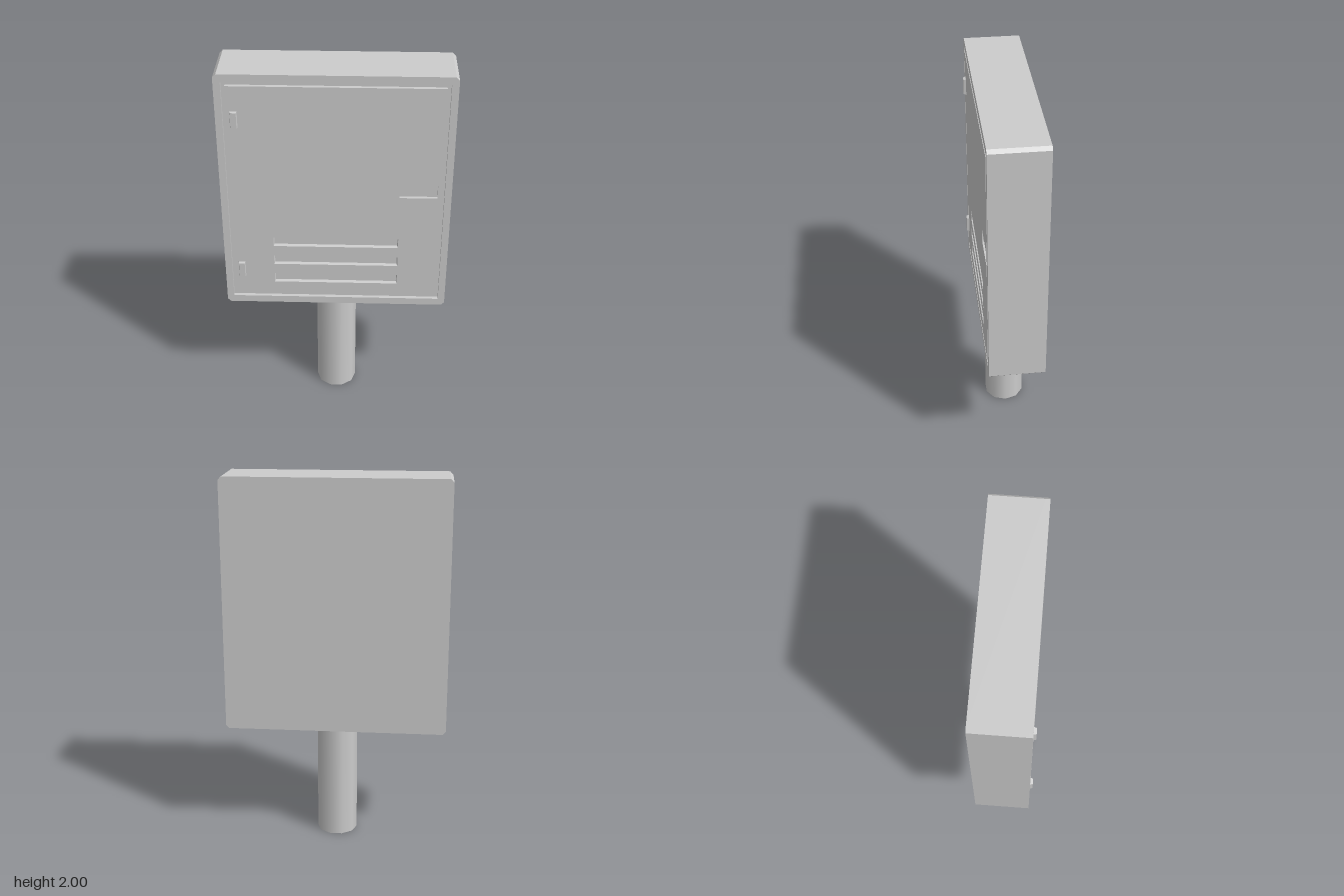
import * as THREE from 'three';

const FRONT = 0.141, BACK = -0.155, GROOVE = 0.02;

function rectPath(target, x0, y0, x1, y1, c = 0) {
  const pts = c
    ? [[x0 + c, y0], [x1 - c, y0], [x1, y0 + c], [x1, y1 - c], [x1 - c, y1], [x0 + c, y1], [x0, y1 - c], [x0, y0 + c]]
    : [[x0, y0], [x1, y0], [x1, y1], [x0, y1]];
  return target.setFromPoints(pts.map(([x, y]) => new THREE.Vector2(x, y)));
}

// Box from corner rectangle, with the front or back end narrowed by a taper
function taperedBox(x0, y0, x1, y1, z0, z1, taper, frontEnd) {
  const w = x1 - x0, h = y1 - y0;
  const g = new THREE.BoxGeometry(w, h, z1 - z0);
  const p = g.attributes.position;
  for (let i = 0; i < p.count; i++) {
    if ((p.getZ(i) > 0) === frontEnd) {
      p.setX(i, p.getX(i) * (1 - 2 * taper / w));
      p.setY(i, p.getY(i) * (1 - 2 * taper / h));
    }
  }
  g.translate((x0 + x1) / 2, (y0 + y1) / 2, (z0 + z1) / 2);
  return g;
}

// Recess seen from inside: a tapered box without its front, turned inside out
function pocket(x0, y0, x1, y1, depth, taper) {
  const g = taperedBox(x0, y0, x1, y1, FRONT - depth, FRONT, taper, false);
  const idx = Array.from(g.index.array);
  idx.splice(24, 6);
  g.setIndex(idx.reverse());
  g.clearGroups();
  g.computeVertexNormals();
  return g;
}

export function createModel() {
  const model = new THREE.Group();
  const mat = new THREE.MeshStandardMaterial({ color: 0xcccccc, flatShading: true });
  const add = (name, geometry, material = mat) => {
    const mesh = new THREE.Mesh(geometry, material);
    mesh.name = name;
    model.add(mesh);
    return mesh;
  };
  const extrude = (shape, z0, z1) =>
    new THREE.ExtrudeGeometry(shape, { depth: z1 - z0, bevelEnabled: false }).translate(0, 0, z0);

  // Cabinet shell with clipped corners
  const outline = () => rectPath(new THREE.Shape(), -0.596, 0.636, 0.596, 2, 0.017);
  add('cabinetBody', extrude(outline(), BACK, FRONT - GROOVE));

  // Raised rim around the door, leaving a narrow groove
  const rim = outline();
  rim.holes.push(rectPath(new THREE.Path(), -0.56, 0.676, 0.56, 1.957));
  add('frontRim', extrude(rim, FRONT - GROOVE, FRONT));

  // Door with openings for the vents and handle
  const vents = [0.775, 0.892, 1.008].map(y => [-0.331, y, 0.331, y + 0.056]);
  const handle = [0.328, 1.32, 0.524, 1.393];
  const door = rectPath(new THREE.Shape(), -0.54, 0.697, 0.54, 1.938);
  for (const r of [...vents, handle]) door.holes.push(rectPath(new THREE.Path(), ...r));
  add('door', extrude(door, FRONT - GROOVE, FRONT));

  // Recessed vents and handle
  vents.forEach((r, i) => add('vent' + (i + 1), pocket(...r, 0.018, 0.004)));
  add('handleRecess', pocket(...handle, 0.018, 0));

  // Hinges
  [['lowerHinge', 0.81], ['upperHinge', 1.71]].forEach(([name, y]) =>
    add(name, taperedBox(-0.526, y, -0.484, y + 0.096, FRONT - 0.01, 0.155, 0.006, true)));

  // Ten-sided smooth post, open at the bottom
  const postMat = new THREE.MeshStandardMaterial({ color: 0xcccccc, side: THREE.DoubleSide });
  const post = new THREE.CylinderGeometry(0.11, 0.11, 0.636, 10, 1, true, Math.PI / 2);
  add('post', post, postMat).position.set(0, 0.318, -0.004);

  return model;
}
